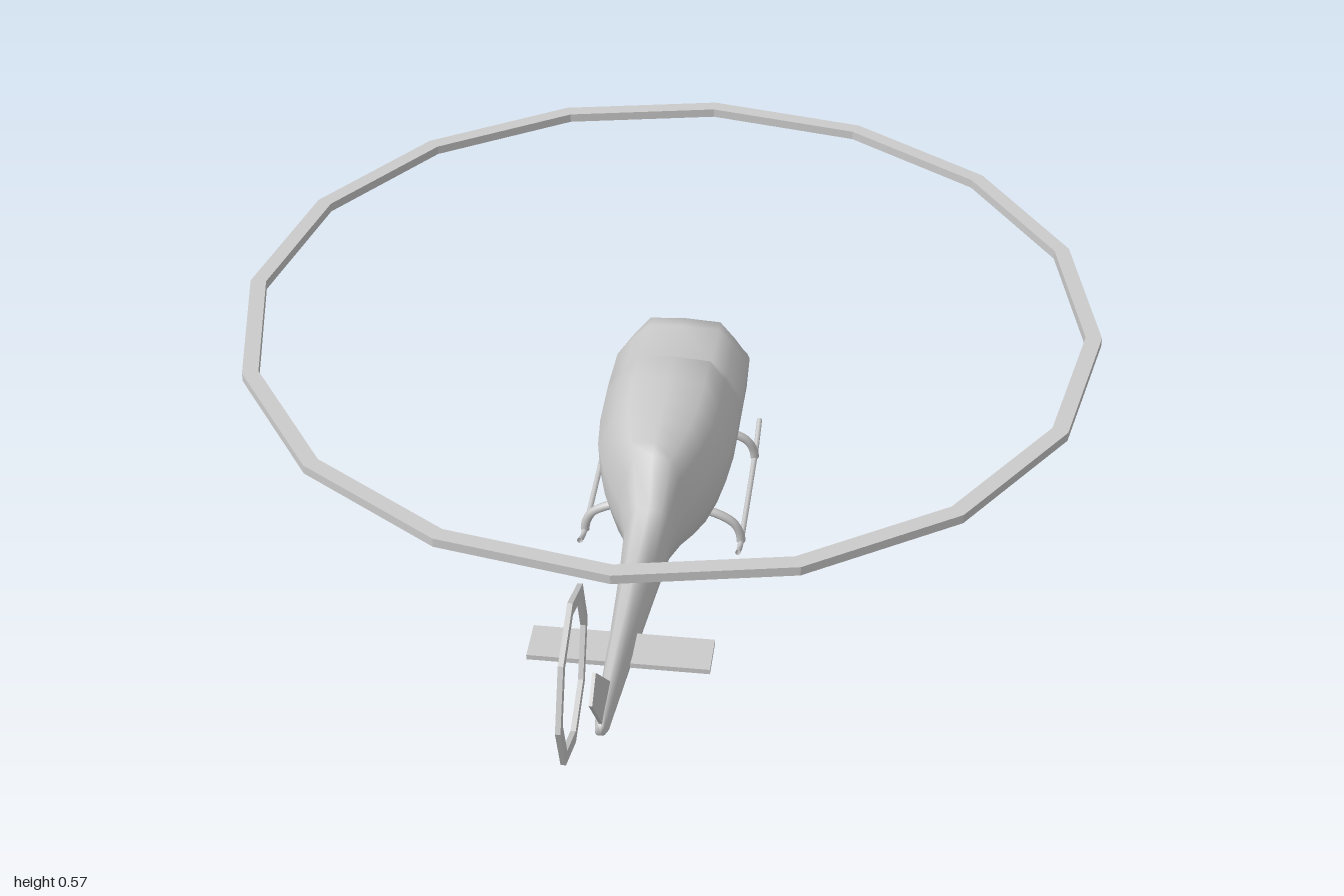
import * as THREE from 'three';

const material = new THREE.MeshStandardMaterial({ color: 0xcccccc, side: THREE.DoubleSide });
const flatMaterial = new THREE.MeshStandardMaterial({ color: 0xcccccc, flatShading: true, side: THREE.DoubleSide });

function addMesh(parent, name, geometry, mat = material) {
  const mesh = new THREE.Mesh(geometry, mat);
  mesh.name = name;
  parent.add(mesh);
  return mesh;
}

// Body stations, nose to tail: z, bottom y, shoulder y, top y, half width, roof width ratio
const stations = [
  [-0.597, 0.108, 0.14, 0.162, 0.055, 0.7],
  [-0.58, 0.09, 0.145, 0.182, 0.085, 0.66],
  [-0.53, 0.077, 0.15, 0.197, 0.115, 0.62],
  [-0.5, 0.073, 0.165, 0.222, 0.126, 0.6],
  [-0.45, 0.07, 0.19, 0.278, 0.134, 0.54],
  [-0.41, 0.069, 0.205, 0.285, 0.137, 0.53],
  [-0.28, 0.068, 0.22, 0.294, 0.137, 0.53],
  [-0.245, 0.068, 0.22, 0.32, 0.137, 0.52],
  [-0.15, 0.068, 0.22, 0.33, 0.136, 0.52],
  [-0.07, 0.068, 0.22, 0.332, 0.129, 0.52],
  [0, 0.07, 0.22, 0.332, 0.11, 0.54],
  [0.06, 0.084, 0.215, 0.33, 0.086, 0.55],
  [0.1, 0.094, 0.21, 0.326, 0.066, 0.55],
  [0.15, 0.106, 0.185, 0.238, 0.047, 0.5],
  [0.3, 0.137, 0.19, 0.248, 0.037, 0.5],
  [0.5, 0.178, 0.215, 0.264, 0.026, 0.5],
  [0.7, 0.219, 0.245, 0.278, 0.017, 0.5],
  [0.775, 0.234, 0.25, 0.276, 0.013, 0.5],
  [0.8, 0.246, 0.257, 0.27, 0.009, 0.5],
];

// Cross-section from the keel up the left side, over the roof and down the right
function section([z, bottom, shoulder, top, w, roof]) {
  const low = shoulder - bottom, high = top - shoulder;
  const half = [
    [0, bottom], [0.5 * w, bottom + 0.01 * low], [0.84 * w, bottom + 0.2 * low],
    [0.97 * w, bottom + 0.55 * low], [w, shoulder],
    [w * (1 + roof) / 2, shoulder + 0.52 * high], [w * roof, shoulder + 0.95 * high], [0, top],
  ];
  const mirrored = half.slice(1, -1).reverse().map(([x, y]) => [-x, y]);
  return [...half, ...mirrored].map(([x, y]) => [x, y, z]);
}

function loft(rings) {
  const n = rings[0].length, last = (rings.length - 1) * n, index = [];
  for (let i = 0; i < rings.length - 1; i++) {
    for (let j = 0; j < n; j++) {
      const a = i * n + j, b = i * n + (j + 1) % n;
      index.push(a, b, a + n, b, b + n, a + n);
    }
  }
  // End caps
  for (let j = 1; j < n - 1; j++) {
    index.push(0, j + 1, j, last, last + j, last + j + 1);
  }
  const geometry = new THREE.BufferGeometry();
  geometry.setAttribute('position', new THREE.Float32BufferAttribute(rings.flat(2), 3));
  geometry.setIndex(index);
  geometry.computeVertexNormals();
  return geometry;
}

// Faceted hoop with a rectangular section
function hoop(outer, width, height, sides) {
  const r = outer - width, h = height / 2;
  const profile = [[r, -h], [outer, -h], [outer, h], [r, h], [r, -h]].map(([x, y]) => new THREE.Vector2(x, y));
  return new THREE.LatheGeometry(profile, sides);
}

function tube(points, radius, segments) {
  const curve = new THREE.CatmullRomCurve3(points.map((p) => new THREE.Vector3(...p)));
  return new THREE.TubeGeometry(curve, segments, radius, 8);
}

export function createModel() {
  const model = new THREE.Group();
  model.name = 'helicopter';

  addMesh(model, 'fuselage', loft(stations.map(section)));

  // Rotor discs drawn as hoops
  addMesh(model, 'mainRotorRing', hoop(0.83, 0.031, 0.018, 16), flatMaterial).position.set(0, 0.473, -0.17);
  const tailRing = addMesh(model, 'tailRotorRing', hoop(0.15, 0.024, 0.009, 8), flatMaterial);
  tailRing.rotation.z = Math.PI / 2;
  tailRing.position.set(-0.038, 0.423, 0.85);

  // Swept fin, outlined in z and y
  const outline = [[0.7, 0.27], [0.79, 0.25], [0.8, 0.275], [0.9, 0.4], [0.855, 0.434], [0.7, 0.282]];
  const finShape = new THREE.Shape(outline.map(([z, y]) => new THREE.Vector2(-z, y)));
  const fin = new THREE.ExtrudeGeometry(finShape, { depth: 0.006, bevelEnabled: false });
  fin.translate(0, 0, -0.003).rotateY(Math.PI / 2);
  addMesh(model, 'tailFin', fin, flatMaterial);

  const stabilizer = addMesh(model, 'stabilizer', new THREE.BoxGeometry(0.328, 0.01, 0.083), flatMaterial);
  stabilizer.position.set(0, 0.219, 0.541);

  // Landing gear, one skid and two struts per side
  for (const side of [1, -1]) {
    const gear = new THREE.Group();
    gear.name = side > 0 ? 'leftLandingGear' : 'rightLandingGear';
    model.add(gear);
    const x = side * 0.158;
    addMesh(gear, 'skid', tube([
      [x, 0.032, 0.002], [x, 0.01, -0.045], [x, 0.006, -0.1], [x, 0.006, -0.3],
      [x, 0.009, -0.385], [x, 0.032, -0.455],
    ], 0.0055, 32));
    for (const [name, z, lean] of [['frontStrut', -0.34, -0.014], ['rearStrut', -0.062, -0.006]]) {
      addMesh(gear, name, tube([
        [side * 0.08, 0.085, z], [side * 0.115, 0.073, z], [side * 0.142, 0.054, z + lean * 0.4],
        [side * 0.155, 0.028, z + lean * 0.8], [x, 0.007, z + lean],
      ], 0.009, 14));
    }
  }
  return model;
}
